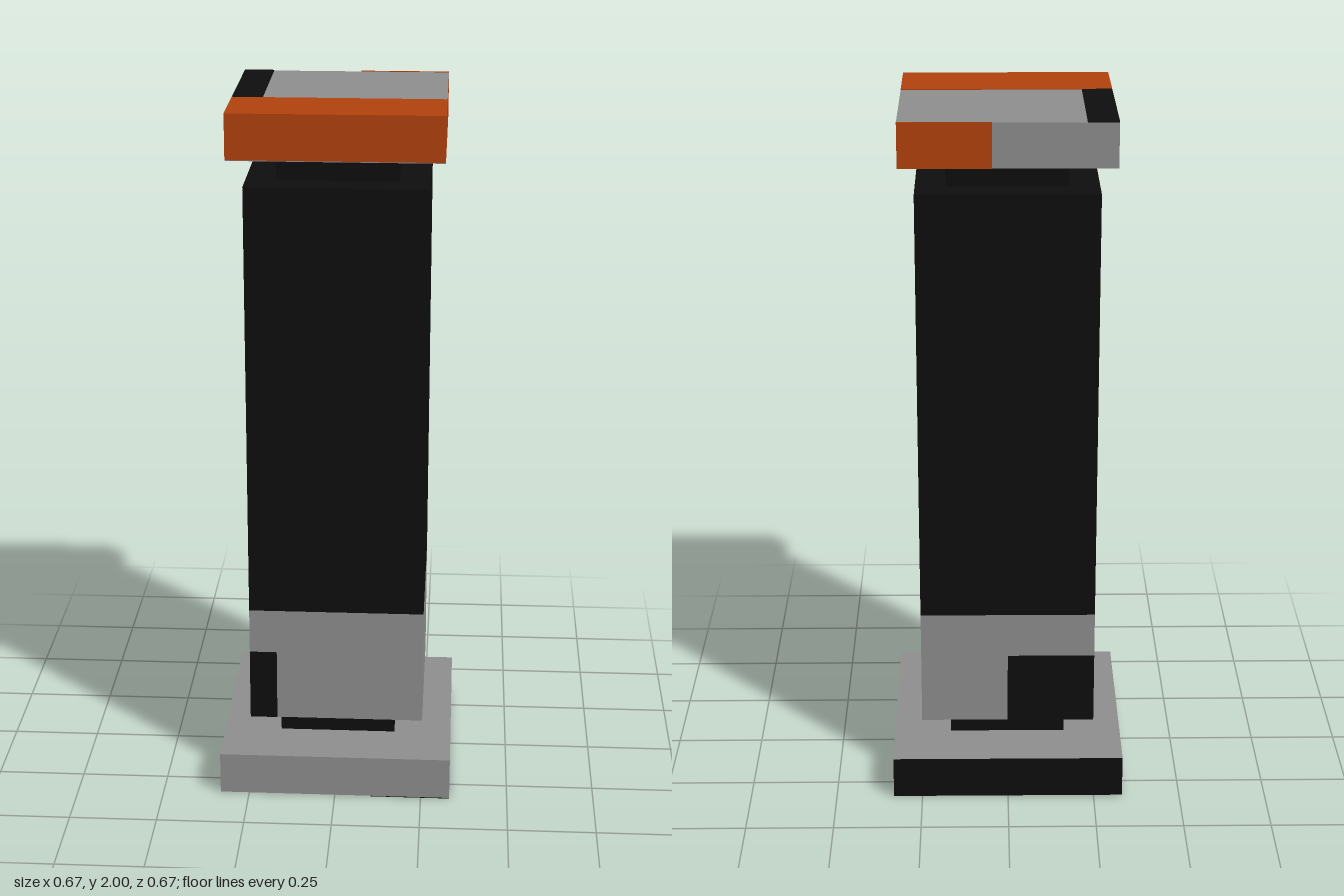
import * as THREE from 'three';

const material = (name, color) => {
  const m = new THREE.MeshStandardMaterial({ color });
  m.name = name;
  return m;
};

export function createModel() {
  const group = new THREE.Group();
  group.name = 'pillar';
  const black = material('black', 0x0e0e0e);
  const grey = material('grey', 0x8e8e8e);
  const orange = material('orange', 0xb2410e);
  const T = 0.002; // thickness of the painted panels

  // Box between two corners; mat is one material or six (+x, -x, +y, -y, +z, -z)
  const block = (name, mat, [x0, y0, z0], [x1, y1, z1]) => {
    const mesh = new THREE.Mesh(new THREE.BoxGeometry(x1 - x0, y1 - y0, z1 - z0), mat);
    mesh.position.set((x0 + x1) / 2, (y0 + y1) / 2, (z0 + z1) / 2);
    mesh.name = name;
    group.add(mesh);
  };
  // Square block centred on the axis
  const tier = (name, mat, half, y0, y1) =>
    block(name, mat, [-half, y0, -half], [half, y1, half]);

  // Base plate with a dark patch underneath
  const B = 0.333;
  tier('base', [grey, black, grey, grey, grey, black], B, T, 0.125);
  block('baseUndersidePatch', black, [0.104, 0, -0.01], [B, T, B]);

  // Recessed necks below and above the shaft
  tier('lowerNeck', black, 0.167, 0.125, 0.208);
  tier('upperNeck', black, 0.167, 1.792, 1.875);

  // Shaft: foot, grey band and long dark column
  const S = 0.25;
  tier('shaftFoot', [grey, black, black, black, grey, grey], S, 0.208, 0.417);
  tier('shaftBand', grey, S, 0.417, 0.548);
  tier('shaftColumn', black, S, 0.548, 1.792);

  // Dark patch wrapping from the foot's front corner to the middle of its back
  block('footFrontPatch', black, [-S, 0.208, S], [-0.172, 0.417, S + T]);
  block('footBackPatch', black, [-S, 0.208, -S - T], [0, 0.417, -S]);

  // Cap with painted top, back and underside
  const C = 0.292;
  tier('cap', [orange, orange, grey, orange, orange, grey], C, 1.875, 2 - T);
  block('capTopFrontPanel', orange, [-C, 2 - T, 0.083], [C, 2, C]);
  block('capTopSidePanel', black, [-C, 2 - T, -C], [-0.208, 2, 0.083]);
  block('capBackPanel', orange, [0.042, 1.875, -C - T], [C, 2, -C]);
  block('capUndersidePanel', grey, [-C, 1.875 - T, -0.083], [C, 1.875, C]);

  return group;
}
